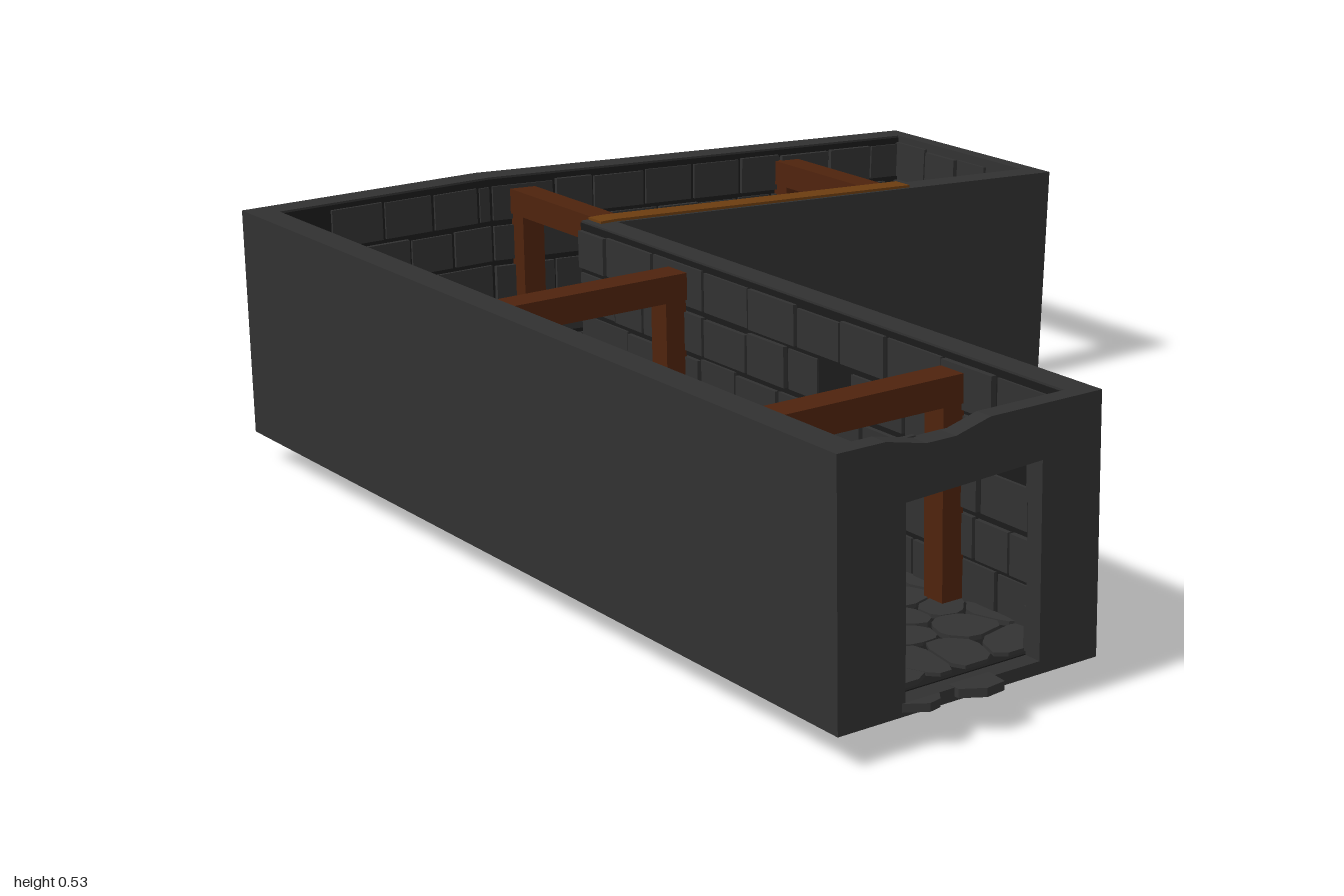
import * as THREE from 'three';
import { mergeGeometries } from 'three/addons/utils/BufferGeometryUtils.js';

const paint = (name, color) => Object.assign(new THREE.MeshStandardMaterial({ color }), { name });

export function createModel() {
  const model = new THREE.Group();
  model.name = 'tunnelCorner';
  const M = {
    wall: paint('wallStone', 0x313131),
    stone: paint('pavingStone', 0x333333),
    mortar: paint('mortar', 0x1b1b1b),
    beam: paint('darkTimber', 0x4e230d),
    wood: paint('lightWood', 0x6c3d10),
    iron: paint('iron', 0x2a2826),
  };
  let seed = 11;
  const rnd = (a = 0, b = 1) => {
    seed = (seed * 16807) % 2147483647;
    return a + (b - a) * seed / 2147483647;
  };

  // The side corridor tilts downhill past the corner
  const KNEE = -0.295, SLOPE = 0.0543;
  const bend = (geo) => {
    const p = geo.attributes.position;
    for (let i = 0; i < p.count; i++) {
      const x = p.getX(i), y = p.getY(i), t = x - KNEE;
      if (t <= 0) continue;
      p.setXYZ(i, x + (y - 0.06) * SLOPE * Math.min(1, t / 1.105), y - SLOPE * t, p.getZ(i));
    }
    return geo;
  };
  const add = (name, mat, geos, parent = model) => {
    const flat = [geos].flat().map((g) => {
      const n = g.index ? g.toNonIndexed() : g;
      n.deleteAttribute('uv');
      n.clearGroups();
      return n;
    });
    const geo = bend(mergeGeometries(flat));
    geo.computeVertexNormals();
    const mesh = new THREE.Mesh(geo, mat);
    mesh.name = name;
    parent.add(mesh);
  };
  // Box given by its extents
  const box = (x0, x1, y0, y1, z0, z1) =>
    new THREE.BoxGeometry(x1 - x0, y1 - y0, z1 - z0).translate((x0 + x1) / 2, (y0 + y1) / 2, (z0 + z1) / 2);
  const poly = (pts) => new THREE.Shape(pts.map(([x, y]) => new THREE.Vector2(x, y)));
  const extrude = (shape, depth) => new THREE.ExtrudeGeometry(shape, { depth, bevelEnabled: false });

  const Y0 = 0.06, YF = 0.083, YT = 0.525;

  // Floor slab and long walls
  add('floorSlab', M.wall, [box(-0.835, KNEE, Y0, YF, -1, 0.965), box(KNEE, 0.81, Y0, YF, -1, -0.455)]);
  add('longOuterWall', M.wall, box(-0.835, -0.78, Y0, YT, -1, 0.965));
  add('longInnerWall', M.wall, box(-0.345, KNEE, Y0, YT, -0.51, 0.965));
  add('backWall', M.wall, [box(-0.78, KNEE, Y0, YT, -1, -0.945), box(KNEE, 0.81, Y0, YT, -1, -0.945)]);
  add('sideInnerWall', M.wall, box(KNEE, 0.81, Y0, YT, -0.51, -0.455));

  // End walls with doorways; the front one has a chipped top
  const front = poly([[-0.78, YF], [-0.7, YF], [-0.7, 0.418], [-0.42, 0.43], [-0.42, YF], [-0.345, YF],
    [-0.345, YT], [-0.53, YT], [-0.6, 0.507], [-0.66, 0.507], [-0.74, YT], [-0.78, YT]]);
  add('frontEndWall', M.wall, extrude(front, 0.035).translate(0, 0, 0.93));
  const side = poly([[0.51, YF], [0.545, YF], [0.545, 0.41], [0.897, 0.41], [0.897, YF], [0.945, YF],
    [0.945, YT], [0.51, YT]]);
  add('sideEndWall', M.wall, extrude(side, 0.035).rotateY(Math.PI / 2).translate(0.775, 0, 0));

  // Mortar bed under the paving
  add('mortarBed', M.mortar, [
    box(-0.78, -0.345, YF, YF + 0.002, -0.945, 0.93), box(-0.345, KNEE, YF, YF + 0.002, -0.945, -0.51),
    box(KNEE, 0.775, YF, YF + 0.002, -0.945, -0.51),
  ]);

  // Paving: rounded cells grown around scattered centres
  const clip = (pts, nx, nz, d) => {
    const out = [];
    pts.forEach((a, i) => {
      const b = pts[(i + 1) % pts.length];
      const da = a[0] * nx + a[1] * nz - d, db = b[0] * nx + b[1] * nz - d;
      if (da <= 0) out.push(a);
      if (da * db < 0) out.push([0, 1].map((k) => a[k] + (b[k] - a[k]) * da / (da - db)));
    });
    return out;
  };
  const slab = (pts, y, h) => extrude(poly(pts.map(([x, z]) => [x, -z])), h).rotateX(-Math.PI / 2).translate(0, y, 0);
  const pave = (x0, x1, z0, z1, dx, dz) => {
    const c = [];
    let row = 0;
    for (let z = z0 + dz / 2; z < z1; z += dz, row++)
      for (let x = x0 + dx * (row % 2 ? 0.25 : 0.75); x < x1; x += dx)
        c.push([x + rnd(-0.35, 0.35) * dx, z + rnd(-0.35, 0.35) * dz]);
    return c.flatMap((s) => {
      let cell = [[x0, z0], [x1, z0], [x1, z1], [x0, z1]];
      for (const o of c) {
        if (o === s) continue;
        const d = (o[0] ** 2 + o[1] ** 2 - s[0] ** 2 - s[1] ** 2) / 2;
        cell = clip(cell, o[0] - s[0], o[1] - s[1], d);
      }
      if (cell.length < 3) return [];
      const mid = [0, 1].map((k) => cell.reduce((t, p) => t + p[k], 0) / cell.length);
      const small = cell.map((p) => [0, 1].map((k) => mid[k] + (p[k] - mid[k]) * 0.94));
      const round = small.flatMap((a, i) => {
        const b = small[(i + 1) % small.length];
        return [0.2, 0.8].map((t) => [a[0] + (b[0] - a[0]) * t, a[1] + (b[1] - a[1]) * t]);
      });
      return [slab(round, YF, rnd(0.008, 0.013))];
    });
  };
  add('longPaving', M.stone, pave(-0.775, -0.35, -0.94, 0.925, 0.1, 0.088));
  add('sidePaving', M.stone, pave(-0.35, 0.77, -0.94, -0.515, 0.098, 0.09));
  add('spilledStones', M.stone, [
    slab([[-0.73, 0.95], [-0.62, 0.95], [-0.645, 0.985], [-0.67, 0.99]], 0.068, 0.015),
    slab([[-0.6, 0.95], [-0.515, 0.95], [-0.52, 0.995], [-0.56, 1], [-0.6, 0.975]], 0.068, 0.016),
  ]);

  // Brick facing; "along" is the wall's run, dir points into the corridor, bricks are cut at a door
  const facing = (name, along, at, dir, a0, a1, door) => {
    const bricks = [], rows = 5, h = (YT - 0.01 - YF) / rows;
    const place = (u0, u1, v0, v1, w) => {
      const n = Math.min(at, at + dir * w), f = Math.max(at, at + dir * w);
      return along === 'x' ? box(u0, u1, v0, v1, n, f) : box(n, f, v0, v1, u0, u1);
    };
    for (let r = 0; r < rows; r++) {
      const v = YF + r * h;
      for (let u = a0, end; u < a1 - 0.02; u = end) {
        end = Math.min(a1, u + rnd(0.085, 0.17));
        const beside = door && r < rows - 1;
        const pieces = beside ? [[u, Math.min(end, door[0])], [Math.max(u, door[1]), end]] : [[u, end]];
        for (const [s, e] of pieces)
          if (e - s > 0.015 && rnd() > 0.1)
            bricks.push(place(s + 0.004, e - 0.004, v + 0.004, v + h - 0.004 - rnd(0, 0.006), rnd(0.006, 0.013)));
      }
    }
    add(name + 'Bricks', M.wall, bricks);
    if (!door) add(name + 'Mortar', M.mortar, place(a0, a1, YF, YT - 0.004, 0.002));
  };
  facing('longOuter', 'z', -0.78, 1, -0.945, 0.93);
  facing('longInner', 'z', -0.345, -1, -0.51, 0.93);
  facing('backCorner', 'x', -0.945, 1, -0.78, KNEE);
  facing('backSide', 'x', -0.945, 1, KNEE, 0.775);
  facing('sideInner', 'x', -0.51, -1, KNEE, 0.775);
  facing('frontEnd', 'x', 0.93, -1, -0.78, -0.345, [-0.7, -0.42]);
  facing('sideEnd', 'z', 0.775, -1, -0.945, -0.51, [-0.897, -0.545]);

  // Timber portal frames
  for (const z of [-0.165, 0.66]) {
    const a = z - 0.03, b = z + 0.03;
    add('longFrame', M.beam, [box(-0.78, -0.352, 0.445, 0.498, a, b),
      box(-0.778, -0.733, YF, 0.445, a + 0.005, b - 0.005), box(-0.397, -0.352, YF, 0.445, a + 0.005, b - 0.005)]);
  }
  for (const x of [-0.22, 0.455]) {
    const a = x - 0.03, b = x + 0.03;
    add('sideFrame', M.beam, [box(a, b, 0.445, 0.498, -0.943, -0.518),
      box(a + 0.005, b - 0.005, YF, 0.445, -0.943, -0.898), box(a + 0.005, b - 0.005, YF, 0.445, -0.563, -0.518)]);
  }
  add('wallTopPlank', M.wood, [box(-0.33, KNEE, YT - 0.01, YT + 0.005, -0.508, -0.462),
    box(KNEE, 0.43, YT - 0.01, YT + 0.005, -0.508, -0.462)]);

  // Props
  const FLOOR = 0.092;
  const barrel = (x, y, z, r, h, lying = false) => {
    const g = new THREE.Group();
    g.name = 'barrel';
    model.add(g);
    const pose = (geo) => (lying ? geo.rotateZ(Math.PI / 2).rotateY(0.5).translate(0, r, 0) : geo).translate(x, y, z);
    const pts = [[0, 0], [0.8, 0], [0.95, 0.25], [1, 0.5], [0.95, 0.75], [0.8, 1], [0.7, 1], [0.7, 0.96], [0, 0.96]];
    add('staves', M.wood, pose(new THREE.LatheGeometry(pts.map(([a, b]) => new THREE.Vector2(a * r, b * h)), 12)), g);
    add('hoops', M.iron, [0.2, 0.52, 0.8].map((t) => {
      const rr = r * (t === 0.52 ? 1.025 : 0.95);
      return pose(new THREE.CylinderGeometry(rr, rr, h * 0.04, 12, 1).translate(0, h * t, 0));
    }), g);
  };
  const crate = (x, y, z, s, turn) => {
    const g = new THREE.Group();
    g.name = 'crate';
    model.add(g);
    const e = s / 2, b = s * 0.1, parts = [box(-e * 0.94, e * 0.94, 0.002, s * 0.97, -e * 0.94, e * 0.94)];
    for (const i of [-1, 1]) {
      const c = i * (e - b / 2);
      for (const j of [-1, 1]) {
        const d = j * (e - b / 2);
        parts.push(box(c - b / 2, c + b / 2, 0, s, d - b / 2, d + b / 2));
      }
      for (const v of [0, s - b])
        parts.push(box(-e, e, v, v + b, c - b / 2, c + b / 2), box(c - b / 2, c + b / 2, v, v + b, -e, e));
    }
    add('boards', M.wood, parts.map((geo) => geo.rotateY(turn).translate(x, y, z)), g);
  };
  barrel(-0.7, FLOOR, -0.845, 0.068, 0.165);
  barrel(-0.535, FLOOR, -0.855, 0.068, 0.165);
  crate(-0.62, 0.258, -0.86, 0.1, -0.3);
  crate(-0.7, FLOOR, -0.7, 0.1, 0.3);
  crate(-0.725, 0.192, -0.725, 0.065, 0.7);
  crate(-0.72, FLOOR, 0.58, 0.066, 0.15);
  barrel(-0.39, FLOOR, -0.095, 0.03, 0.06);
  barrel(0.745, FLOOR, -0.905, 0.026, 0.055, true);
  return model;
}
